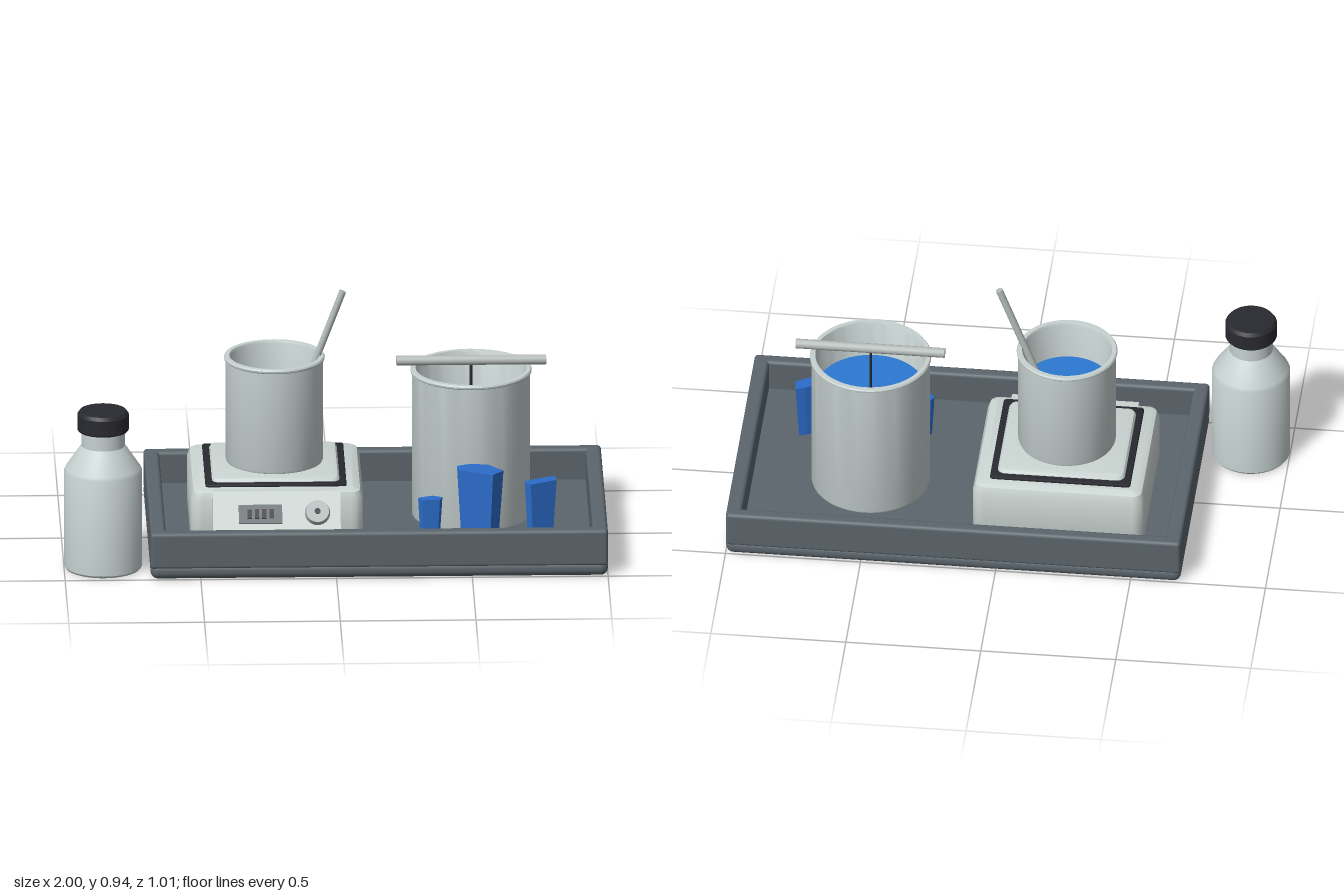
import * as THREE from 'three';
import { toCreasedNormals } from 'three/addons/utils/BufferGeometryUtils.js';
import { RoundedBoxGeometry } from 'three/addons/geometries/RoundedBoxGeometry.js';

const material = (name, color) => {
  const m = new THREE.MeshStandardMaterial({ color });
  m.name = name;
  return m;
};

export function createModel() {
  const root = new THREE.Group();
  root.name = 'crystalGrowingSet';
  const slate = material('slate tray', 0x5b656c);
  const glass = material('pale glass', 0xc6d1d0);
  const casing = material('casing', 0xcbd5d2);
  const steel = material('rod grey', 0xb4bcba);
  const black = material('black', 0x292a30);
  const screenGrey = material('screen grey', 0x687072);
  const blue = material('blue solution', 0x2c78d2);
  const crystalBlue = material('crystal blue', 0x2c6cca);

  function add(name, geometry, mat, pos = [0, 0, 0], parent = root) {
    const mesh = new THREE.Mesh(geometry, mat);
    mesh.name = name;
    mesh.position.set(...pos);
    parent.add(mesh);
    return mesh;
  }
  const lathe = (pts) => toCreasedNormals(
    new THREE.LatheGeometry(pts.map(([x, y]) => new THREE.Vector2(x, y)), 48), 0.6);

  // Box from its extents, with rounded edges
  function roundedBox(name, [x0, x1], [y0, y1], [z0, z1], r, mat) {
    add(name, new RoundedBoxGeometry(x1 - x0, y1 - y0, z1 - z0, 3, r), mat,
      [(x0 + x1) / 2, (y0 + y1) / 2, (z0 + z1) / 2]);
  }
  // Flat slab from its extents, bevelled around the top edge
  function slab(name, [x0, x1], [y0, y1], [z0, z1], bevel, height, mat) {
    const a = x0 + bevel, b = x1 - bevel, c = -z1 + bevel, d = -z0 - bevel, r = 0.008;
    const s = new THREE.Shape();
    s.absarc(b - r, d - r, r, 0, Math.PI / 2);
    s.absarc(a + r, d - r, r, Math.PI / 2, Math.PI);
    s.absarc(a + r, c + r, r, Math.PI, Math.PI * 1.5);
    s.absarc(b - r, c + r, r, Math.PI * 1.5, Math.PI * 2);
    s.closePath();
    const g = new THREE.ExtrudeGeometry(s, {
      depth: y1 - y0 - 2 * height, bevelEnabled: true, bevelSize: bevel,
      bevelThickness: height, bevelSegments: 2, curveSegments: 4,
    });
    g.rotateX(-Math.PI / 2);
    add(name, toCreasedNormals(g, 0.5), mat, [0, y0 + height, 0]);
  }
  // Round rod between two points
  function rod(name, from, to, r, mat) {
    const a = new THREE.Vector3(...from), b = new THREE.Vector3(...to);
    const dir = b.clone().sub(a);
    const mesh = add(name, new THREE.CylinderGeometry(r, r, dir.length(), 20), mat,
      a.clone().add(b).multiplyScalar(0.5).toArray());
    mesh.quaternion.setFromUnitVectors(new THREE.Vector3(0, 1, 0), dir.normalize());
  }

  // Tray: base plate and four rim walls
  roundedBox('trayBase', [-0.685, 1], [0, 0.06], [-0.505, 0.505], 0.028, slate);
  for (const s of [-1, 1]) {
    const z = s * 0.48;
    roundedBox('trayLongWall', [-0.685, 1], [0.04, 0.18], [z - 0.025, z + 0.025], 0.014, slate);
    const x = 0.1575 + s * 0.814;
    roundedBox('trayEndWall', [x - 0.0285, x + 0.0285], [0.04, 0.18], [-0.48, 0.48], 0.014, slate);
  }

  // Hotplate: casing, dark seal and heated top
  slab('hotplateBody', [-0.53, 0.105], [0.02, 0.26], [-0.335, 0.25], 0.035, 0.038, casing);
  slab('hotplateSeal', [-0.475, 0.045], [0.25, 0.27], [-0.285, 0.205], 0.005, 0.005, black);
  slab('hotplateTop', [-0.45, 0.02], [0.25, 0.286], [-0.26, 0.18], 0.022, 0.014, casing);

  // Sloping control panel
  const wedge = new THREE.Shape([[0.18, 0.05], [0.35, 0.05], [0.35, 0.11], [0.25, 0.258], [0.18, 0.258]]
    .map(([z, y]) => new THREE.Vector2(-z, y)));
  const wedgeGeo = new THREE.ExtrudeGeometry(wedge, { depth: 0.47, bevelEnabled: false });
  wedgeGeo.rotateY(Math.PI / 2);
  add('controlPanel', wedgeGeo, casing, [-0.45, 0, 0]);

  const controls = new THREE.Group();
  controls.name = 'controls';
  controls.position.set(-0.215, 0.184, 0.3);
  controls.rotation.x = -Math.atan2(0.1, 0.148);
  root.add(controls);
  add('display', new THREE.BoxGeometry(0.16, 0.072, 0.008), screenGrey, [-0.06, 0, 0.003], controls);
  for (let i = 0; i < 4; i++) {
    add('displayBar', new THREE.BoxGeometry(0.016, 0.036, 0.003), black, [-0.1 + i * 0.027, 0, 0.008], controls);
  }
  const knob = add('knob', new THREE.CylinderGeometry(0.042, 0.047, 0.024, 32), steel, [0.15, 0.005, 0.012], controls);
  knob.rotation.x = Math.PI / 2;
  const dot = add('knobMark', new THREE.CylinderGeometry(0.011, 0.011, 0.004, 16), black, [0.15, 0.005, 0.025], controls);
  dot.rotation.x = Math.PI / 2;

  // Beakers with a rolled rim and blue liquid inside
  function beaker(name, x, z, r, base, top, level) {
    const g = new THREE.Group();
    g.name = name;
    g.position.set(x, 0, z);
    root.add(g);
    const inner = r - 0.018;
    add('beakerGlass', lathe([
      [0, base], [r - 0.012, base], [r - 0.003, base + 0.004], [r, base + 0.012],
      [r, top - 0.016], [r + 0.005, top - 0.012], [r + 0.006, top - 0.006], [r + 0.002, top],
      [inner + 0.004, top], [inner, top - 0.008], [inner, base + 0.018], [0, base + 0.018],
    ]), glass, [0, 0, 0], g);
    const h = level - base - 0.018;
    add('liquid', new THREE.CylinderGeometry(inner - 0.001, inner - 0.001, h, 48), blue, [0, level - h / 2, 0], g);
  }
  beaker('heatedBeaker', -0.215, -0.037, 0.18, 0.284, 0.692, 0.54);
  beaker('growingBeaker', 0.51, -0.062, 0.218, 0.058, 0.628, 0.48);

  // Stirring rod, cross bar and hanging thread
  rod('stirringRod', [-0.19, 0.34, -0.032], [0.037, 0.938, -0.032], 0.013, steel);
  rod('crossBar', [0.235, 0.657, -0.062], [0.787, 0.657, -0.062], 0.018, steel);
  rod('thread', [0.51, 0.4, -0.062], [0.51, 0.65, -0.062], 0.005, black);

  // Bottle with screw cap
  add('bottle', lathe([
    [0, 0], [0.138, 0], [0.144, 0.008], [0.144, 0.375], [0.138, 0.388], [0.088, 0.462],
    [0.08, 0.472], [0.08, 0.535], [0, 0.535],
  ]), glass, [-0.856, 0, 0.337]);
  add('bottleCap', lathe([
    [0, 0.53], [0.091, 0.53], [0.095, 0.535], [0.095, 0.592], [0.086, 0.605], [0, 0.605],
  ]), black, [-0.856, 0, 0.337]);

  // Crystals: six-sided prisms that widen upwards
  function crystal(top, height) {
    const cx = top.reduce((s, p) => s + p[0], 0) / top.length;
    const cz = top.reduce((s, p) => s + p[1], 0) / top.length;
    const shape = new THREE.Shape(top.map(([x, z]) => new THREE.Vector2(x - cx, cz - z)));
    const g = new THREE.ExtrudeGeometry(shape, { depth: height, bevelEnabled: false });
    g.rotateX(-Math.PI / 2);
    const p = g.attributes.position;
    for (let i = 0; i < p.count; i++) {
      const k = 0.78 + 0.22 * p.getY(i) / height;
      p.setX(i, p.getX(i) * k);
      p.setZ(i, p.getZ(i) * k);
    }
    g.computeVertexNormals();
    add('crystal', g, crystalBlue, [cx, 0.055, cz]);
  }
  crystal([[0.45, 0.25], [0.493, 0.23], [0.563, 0.235], [0.62, 0.31], [0.58, 0.36], [0.45, 0.3]], 0.295);
  crystal([[0.7, 0.224], [0.78, 0.176], [0.813, 0.165], [0.818, 0.213], [0.722, 0.267], [0.7, 0.245]], 0.225);
  crystal([[0.317, 0.23], [0.36, 0.213], [0.397, 0.23], [0.387, 0.26], [0.322, 0.267], [0.307, 0.245]], 0.168);

  return root;
}
